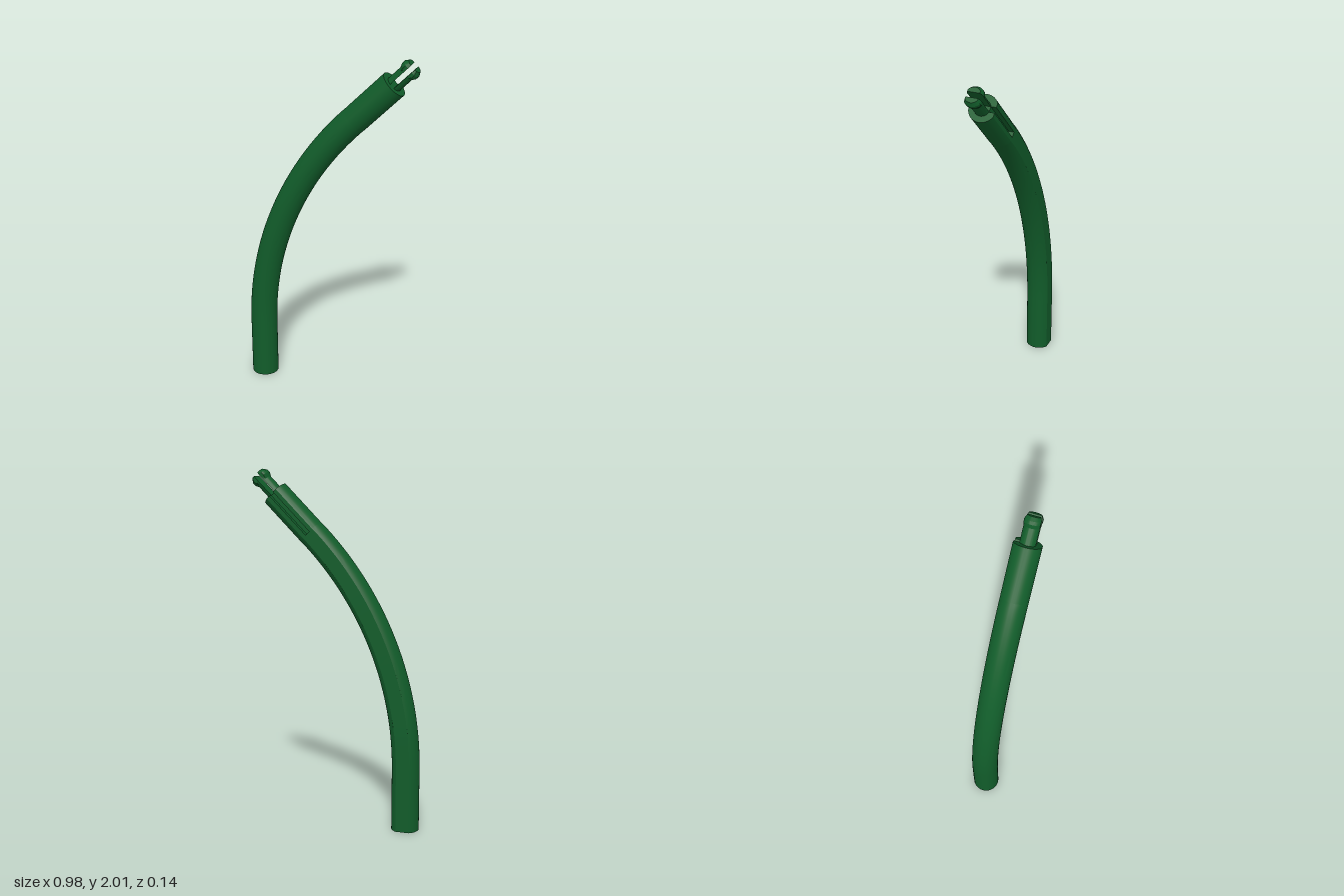
import * as THREE from 'three';
import { toCreasedNormals } from 'three/addons/utils/BufferGeometryUtils.js';

const R = 0.0775, FLAT = 0.0675;           // bar radius, distance of its flat back
const BASE_X = -0.413, STRAIGHT = 0.35;    // lower straight part
const BEND = 1.82, END = [0.355, 1.87];    // bend radius, centre of the upper end
const DIAG = Math.PI / 4;

// Lofts cross-sections (n, z) through stations {x, y, angle, section}, capped at both ends
function loft(stations) {
  const rings = stations.map(({ x, y, angle, section }) => section.map(p =>
    new THREE.Vector3(x - Math.sin(angle) * p.x, y + Math.cos(angle) * p.x, p.y)));
  const pos = [];
  const tri = (...pts) => pts.forEach(p => pos.push(p.x, p.y, p.z));
  for (let i = 0; i < rings.length - 1; i++) {
    const lo = rings[i], hi = rings[i + 1];
    lo.forEach((a, j) => {
      const k = (j + 1) % lo.length;
      tri(a, lo[k], hi[k]);
      tri(a, hi[k], hi[j]);
    });
  }
  const last = rings.length - 1;
  for (const [a, b, c] of THREE.ShapeUtils.triangulateShape(stations[0].section, []))
    tri(rings[0][a], rings[0][c], rings[0][b]);
  for (const [a, b, c] of THREE.ShapeUtils.triangulateShape(stations[last].section, []))
    tri(rings[last][a], rings[last][b], rings[last][c]);
  const geo = new THREE.BufferGeometry();
  geo.setAttribute('position', new THREE.Float32BufferAttribute(pos, 3));
  return toCreasedNormals(geo, 0.4);
}

// Round section with a flat back, optionally with a groove in the flat
function barSection(grooved) {
  const half = Math.acos(FLAT / R), pts = [];
  for (let i = 0; i <= 40; i++) {
    const t = -Math.PI / 2 + half + (i / 40) * (2 * Math.PI - 2 * half);
    pts.push(new THREE.Vector2(R * Math.cos(t), R * Math.sin(t) - 0.005));
  }
  if (grooved) {
    const outer = -FLAT - 0.005, inner = outer + 0.03;
    [[-0.015, outer], [-0.015, inner], [0.015, inner], [0.015, outer]]
      .forEach(([n, z]) => pts.push(new THREE.Vector2(n, z)));
  }
  return pts;
}

// Half-round section of a prong, trimmed at the sides and at the slot
function prongSection(r, width, side) {
  const gap = 0.014, a = Math.acos(gap / r), pts = [];
  for (let i = 0; i <= 20; i++) {
    const t = -a + (i / 20) * 2 * a;
    const z = THREE.MathUtils.clamp(r * Math.sin(t), -width, width);
    pts.push(new THREE.Vector2(side * r * Math.cos(t), side * z - 0.002));
  }
  return pts;
}

// Station on the upper straight part, at distance d past its end
const diagonal = (d, section) => ({
  x: END[0] + d * Math.SQRT1_2, y: END[1] + d * Math.SQRT1_2, angle: DIAG, section,
});

export function createModel() {
  const group = new THREE.Group();
  const green = new THREE.MeshStandardMaterial({ color: 0x115c2a });
  green.name = 'dark green';
  const add = (name, geo) => {
    const mesh = new THREE.Mesh(geo, green);
    mesh.name = name;
    group.add(mesh);
  };

  // Upright foot and bend
  const plain = barSection(false), grooved = barSection(true);
  const stations = [{ x: BASE_X, y: 0, angle: Math.PI / 2, section: plain }];
  for (let i = 0; i <= 28; i++) {
    const t = (i / 28) * DIAG;
    stations.push({
      x: BASE_X + BEND * (1 - Math.cos(t)), y: STRAIGHT + BEND * Math.sin(t),
      angle: Math.PI / 2 - t, section: plain,
    });
  }
  stations.push(diagonal(-0.3, plain));
  add('curvedBar', loft(stations));

  // Upper end with the groove in its back
  add('groovedEnd', loft([diagonal(-0.3, grooved), diagonal(0, grooved)]));

  // Split clip with lipped tips
  const profile = [[-0.02, 0.044, 0.043], [0.09, 0.044, 0.043], [0.112, 0.055, 0.043],
    [0.13, 0.055, 0.043], [0.15, 0.042, 0.034]];
  for (const [name, side] of [['upperProng', 1], ['lowerProng', -1]])
    add(name, loft(profile.map(([d, r, w]) => diagonal(d, prongSection(r, w, side)))));

  return group;
}
